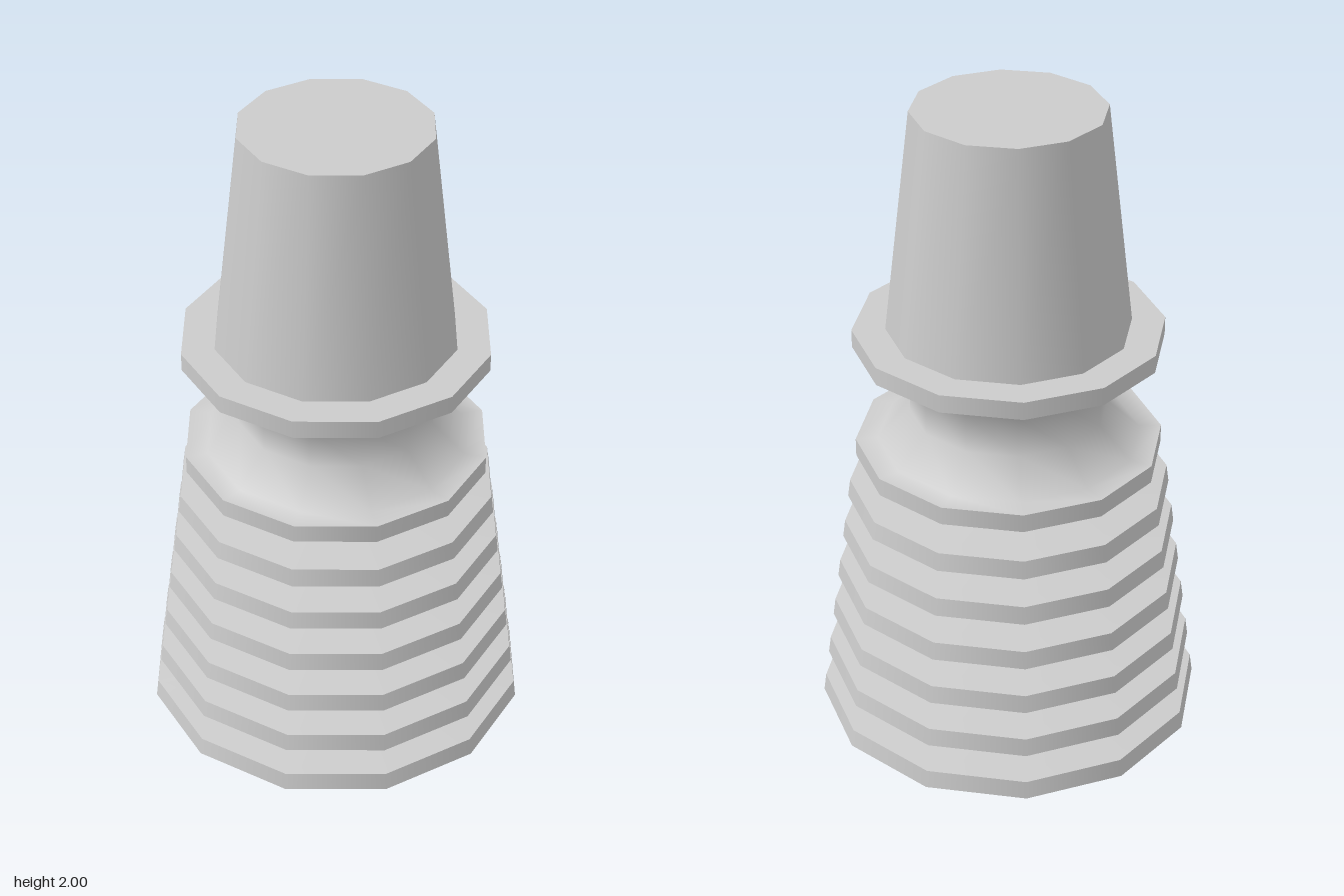
import * as THREE from 'three';
import { mergeGeometries } from 'three/addons/utils/BufferGeometryUtils.js';

const SIDES = 12;
const material = new THREE.MeshStandardMaterial({ color: 0xcccccc });

// Frustum from (r0, y0) up to (r1, y1)
function frustum(r0, y0, r1, y1, open = false) {
  return new THREE.CylinderGeometry(r1, r0, y1 - y0, SIDES, 1, open).translate(0, (y0 + y1) / 2, 0);
}

// Smooth turned surface through [radius, height] points
function turned(points) {
  return new THREE.LatheGeometry(points.map(([r, y]) => new THREE.Vector2(r, y)), SIDES);
}

export function createModel() {
  const group = new THREE.Group();
  const add = (name, geometry) => {
    const mesh = new THREE.Mesh(geometry, material);
    mesh.name = name;
    group.add(mesh);
  };

  // Tapered core inside the fins, its foot raised within the hollow base
  const coreRadius = (y) => 0.425 - 0.15 * y;
  add('core', frustum(coreRadius(0.068), 0.068, coreRadius(0.88), 0.88));

  // Six tapered fins; the lowest has a hollowed underside
  const pitch = 0.147, rim = 0.057, swell = 0.012;
  for (let i = 0; i < 6; i++) {
    const y = i * pitch, r = 0.6 - 0.14 * y;
    const underside = i === 0
      ? turned([[coreRadius(0.064), 0.064], [r, 0]])
      : frustum(coreRadius(y), y - swell, r, y, true);
    add('fin' + (i + 1), mergeGeometries([
      underside,
      frustum(r, y, r - 0.008, y + rim, true),
      frustum(r - 0.008, y + rim, coreRadius(y + rim), y + rim + swell, true),
    ]));
  }

  // Rims of the two collars, with the outer faces away from the neck
  const collarRadius = 0.467;
  add('lowerCollar', mergeGeometries([
    frustum(coreRadius(0.88), 0.868, collarRadius, 0.88, true),
    frustum(collarRadius, 0.88, collarRadius, 0.937, true),
  ]));
  add('upperCollar', mergeGeometries([
    frustum(collarRadius, 1.256, collarRadius, 1.312, true),
    new THREE.CircleGeometry(collarRadius, SIDES).rotateX(-Math.PI / 2).translate(0, 1.312, 0),
  ]));

  // Waisted neck running smoothly into the facing sides of the collars
  add('neck', turned([
    [collarRadius, 0.937], [0.4, 0.939], [0.3, 1.033],
    [0.3, 1.16], [0.4, 1.254], [collarRadius, 1.256],
  ]));

  // Tapered plug on top
  add('plug', frustum(0.367, 1.312, 0.285, 2));

  return group;
}
